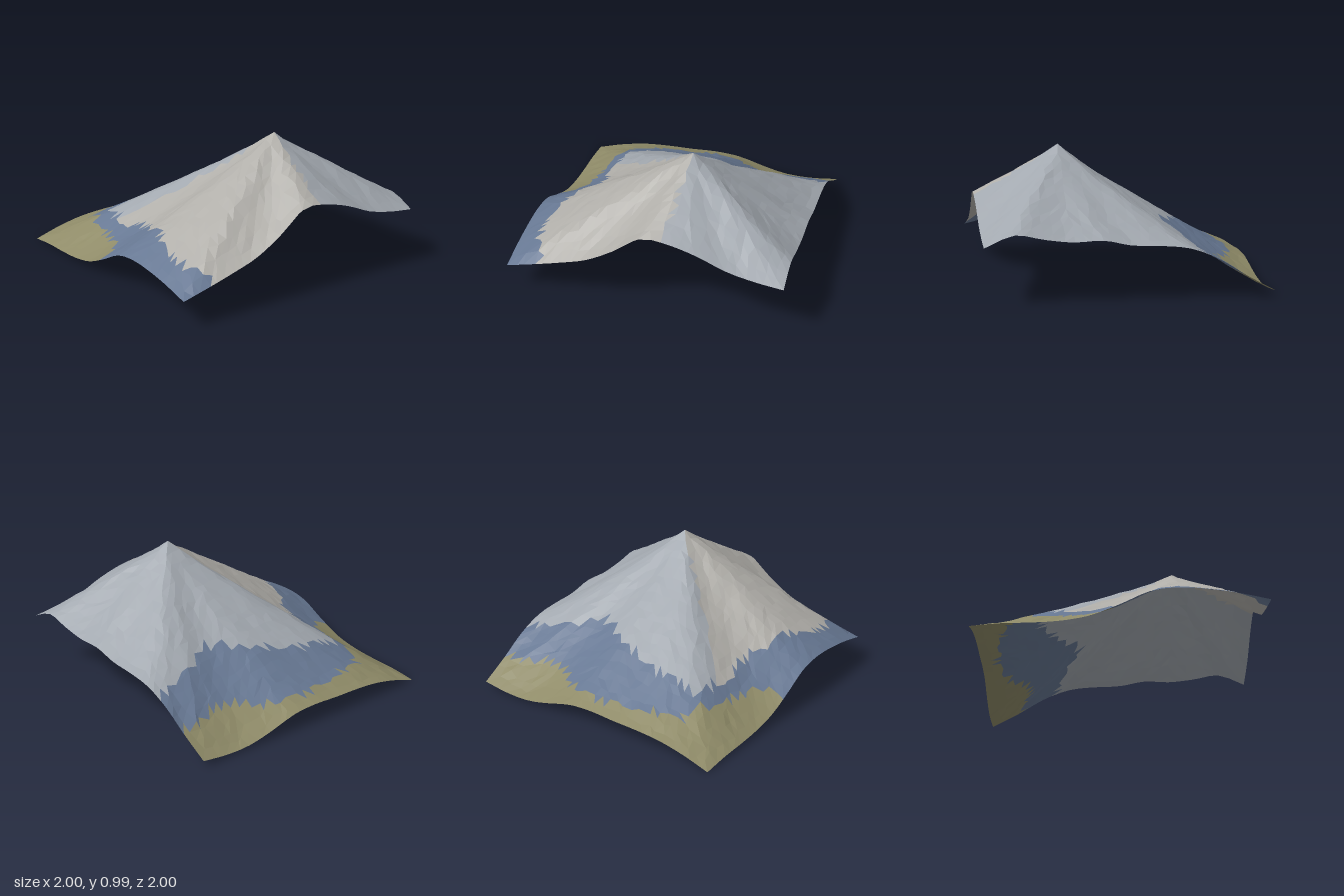
import * as THREE from 'three';

// Summit position and the height of each border, sampled every 0.2 from -1 to 1
const PEAK = { x: 0.2, y: 0.99, z: 0.4 };
const EDGES = {
  front: [0.2, 0.25, 0.305, 0.37, 0.485, 0.628, 0.618, 0.562, 0.48, 0.435, 0.41],
  back: [0, 0.06, 0.1, 0.115, 0.12, 0.13, 0.115, 0.06, 0.02, 0.02, 0.045],
  right: [0, 0.02, 0.026, 0.04, 0.08, 0.165, 0.26, 0.288, 0.275, 0.245, 0.2],
  left: [0.045, 0.155, 0.28, 0.36, 0.385, 0.395, 0.435, 0.43, 0.455, 0.49, 0.41],
};

// Outlines, in plan (x, z), of the rock cap and the low grass
const ROCK = [[-0.75, 1], [-0.86, 0.7], [-0.8, 0.5], [-0.72, 0.2], [-0.62, 0], [-0.66, -0.35], [-0.58, -0.56],
  [-0.2, -0.56], [0.1, -0.46], [0.4, -0.3], [0.65, -0.4], [1.1, -0.54], [1.1, 1.1], [-0.75, 1.1]];
const GRASS = [[-1.1, 0.02], [-0.82, -0.1], [-0.73, -0.5], [-0.62, -0.8], [-0.4, -0.83], [0, -0.9],
  [0.3, -0.83], [0.5, -0.7], [0.65, -0.68], [0.8, -0.75], [1.1, -0.76], [1.1, -1.1], [-1.1, -1.1]];

function inside(outline, x, z) {
  let hit = false;
  outline.forEach(([ax, az], i) => {
    const [bx, bz] = outline[(i + 1) % outline.length];
    if ((az > z) !== (bz > z) && x < ax + ((z - az) / (bz - az)) * (bx - ax)) hit = !hit;
  });
  return hit;
}

// Smooth interpolation along a border
function sample(values, s) {
  const f = THREE.MathUtils.clamp((s + 1) * 5, 0, 10);
  const i = Math.min(9, Math.floor(f)), t = f - i;
  const a = values[i], b = values[i + 1];
  const m0 = i ? (b - values[i - 1]) / 2 : b - a;
  const m1 = i < 9 ? (values[i + 2] - a) / 2 : b - a;
  const t2 = t * t, t3 = t2 * t;
  return (2 * t3 - 3 * t2 + 1) * a + (t3 - 2 * t2 + t) * m0 + (3 * t2 - 2 * t3) * b + (t3 - t2) * m1;
}

// Slopes run from the summit to the border and sag a little, most at the back
function height(x, z) {
  const dx = x - PEAK.x, dz = z - PEAK.z;
  const tx = dx > 0 ? dx / (1 - PEAK.x) : -dx / (1 + PEAK.x);
  const tz = dz > 0 ? dz / (1 - PEAK.z) : -dz / (1 + PEAK.z);
  const t = Math.max(tx, tz);
  const border = tx > tz
    ? sample(dx > 0 ? EDGES.left : EDGES.right, PEAK.z + dz / t)
    : sample(dz > 0 ? EDGES.front : EDGES.back, PEAK.x + dx / t);
  const sag = 0.012 + 0.036 * Math.max(0, -dz / Math.hypot(dx, dz));
  return THREE.MathUtils.lerp(PEAK.y, border, t) - sag * (1 - (2 * t - 1) ** 4);
}

export function createModel() {
  const N = 30;
  let seed = 7;
  const jitter = (size) => {
    seed = (seed * 16807) % 2147483647;
    return (seed / 2147483647 - 0.5) * 2 * size;
  };

  // Slightly irregular grid of points, exact at the border and summit
  const points = [];
  for (let j = 0; j <= N; j++) {
    for (let i = 0; i <= N; i++) {
      let x = -1 + (2 * i) / N, z = -1 + (2 * j) / N, rough = 0;
      const atPeak = Math.hypot(x - PEAK.x, z - PEAK.z) < 0.03;
      if (!atPeak) {
        const innerX = i > 0 && i < N, innerZ = j > 0 && j < N;
        if (innerX) x += jitter(0.018);
        if (innerZ) z += jitter(0.018);
        if (innerX && innerZ) rough = jitter(0.004);
      }
      points.push([x, atPeak ? PEAK.y : Math.max(0, height(x, z) + rough), z]);
    }
  }

  // Sort the triangles into ground covers by their centre
  const covers = { warmRock: [], coolRock: [], shrubBelt: [], grassFoot: [] };
  const coverAt = (x, z) => {
    if (inside(GRASS, x, z)) return 'grassFoot';
    if (!inside(ROCK, x, z)) return 'shrubBelt';
    const dx = x - PEAK.x, dz = z - PEAK.z;
    return dx < -0.1 * dz && dz > 0.9 * dx ? 'warmRock' : 'coolRock';
  };
  const addTriangle = (...ids) => {
    const corners = ids.map((k) => points[k]);
    const x = corners.reduce((s, p) => s + p[0], 0) / 3;
    const z = corners.reduce((s, p) => s + p[2], 0) / 3;
    covers[coverAt(x, z)].push(...corners.flat());
  };
  for (let j = 0; j < N; j++) {
    for (let i = 0; i < N; i++) {
      const a = j * (N + 1) + i, b = a + 1, c = a + N + 1, d = c + 1;
      // Split each cell along the line that points away from the summit
      const x = -1 + (2 * i + 1) / N - PEAK.x, z = -1 + (2 * j + 1) / N - PEAK.z;
      if (x * z > 0) {
        addTriangle(a, c, d);
        addTriangle(a, d, b);
      } else {
        addTriangle(a, c, b);
        addTriangle(b, c, d);
      }
    }
  }

  const colors = { warmRock: 0xb0aea9, coolRock: 0xa2a8af, shrubBelt: 0x677893, grassFoot: 0x8f8b68 };
  const mountain = new THREE.Group();
  mountain.name = 'mountain';
  for (const [name, positions] of Object.entries(covers)) {
    const geometry = new THREE.BufferGeometry();
    geometry.setAttribute('position', new THREE.Float32BufferAttribute(positions, 3));
    geometry.computeVertexNormals();
    const material = new THREE.MeshStandardMaterial({
      color: colors[name], flatShading: true, side: THREE.DoubleSide,
    });
    const mesh = new THREE.Mesh(geometry, material);
    mesh.name = name;
    mountain.add(mesh);
  }
  return mountain;
}
